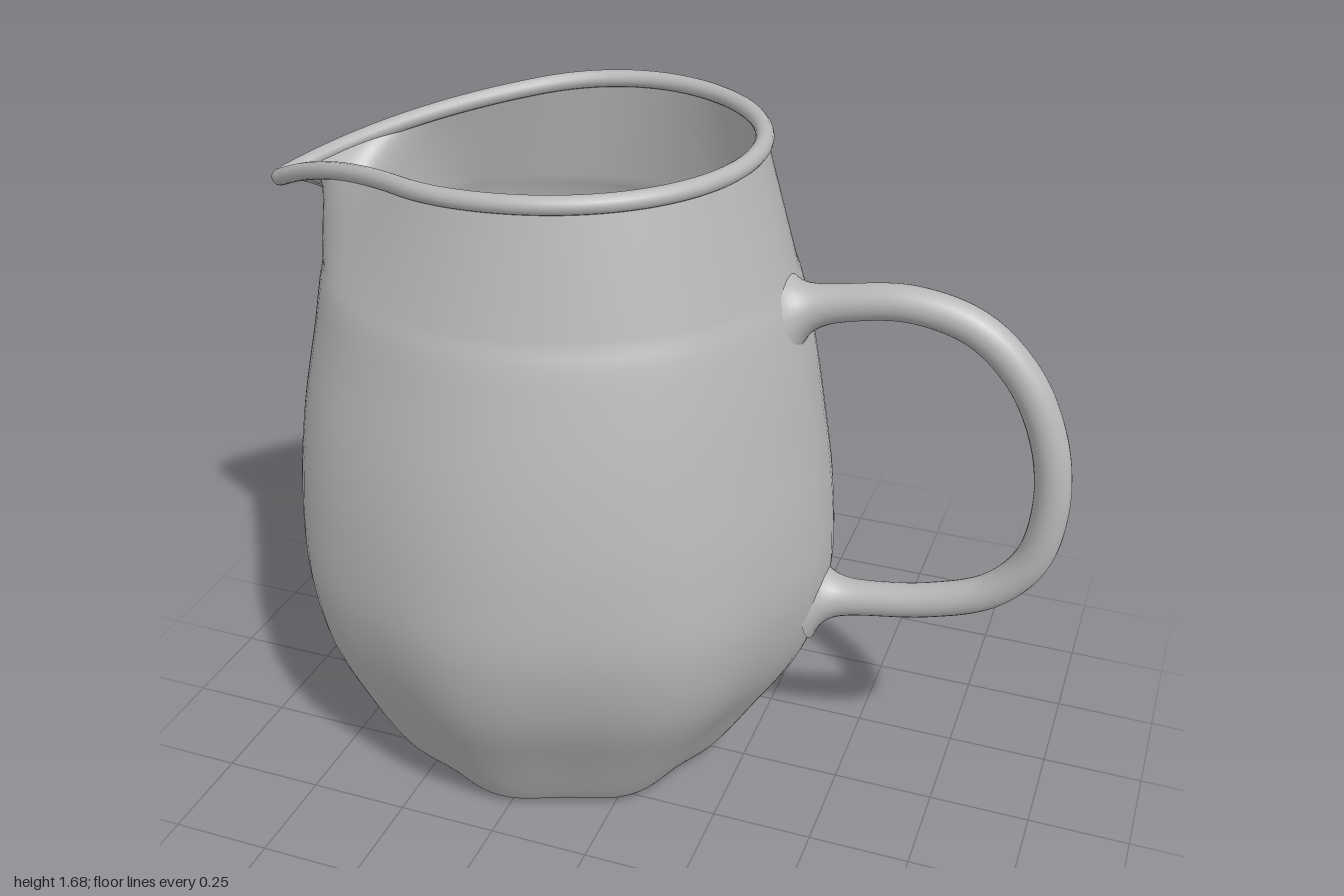
import * as THREE from 'three';
import { mergeVertices } from 'three/addons/utils/BufferGeometryUtils.js';

const SEG = 96;
const NECK_Y = 1.36;
const { lerp, smoothstep } = THREE.MathUtils;

// Body outline: height, spout side x, handle side x, half depth
const PROFILE = [
  [0.0, -0.62, 0.08, 0.32],
  [0.008, -0.68, 0.135, 0.375],
  [0.045, -0.735, 0.185, 0.41],
  [0.2, -0.815, 0.285, 0.49],
  [0.4, -0.885, 0.4, 0.585],
  [0.6, -0.91, 0.445, 0.63],
  [0.8, -0.9, 0.435, 0.625],
  [1.0, -0.872, 0.405, 0.6],
  [1.2, -0.83, 0.37, 0.557],
  [NECK_Y, -0.797, 0.327, 0.513],
];
const sides = new THREE.CatmullRomCurve3(
  PROFILE.map(([, a, b, z]) => new THREE.Vector3(a, b, z)), false, 'catmullrom', 0.5);
const heights = new THREE.SplineCurve(PROFILE.map(([y]) => new THREE.Vector2(y, 0)));

// One point of the belly; it is slightly eight-sided near the foot
function bellyPoint(t, angle, inset) {
  const s = sides.getPoint(t);
  const y = heights.getPoint(t).x;
  const facet = 0.05 * (1 - smoothstep(y, 0, 0.9)) + 0.008;
  const k = 1 - facet * (1 - Math.cos(8 * angle)) / 2;
  const rx = ((s.y - s.x) / 2 - inset) * k;
  return new THREE.Vector3(
    (s.x + s.y) / 2 + rx * Math.cos(angle), y, (s.z - inset) * k * Math.sin(angle));
}

// Rim: an arc running along tangent lines into the pouring lip
function rimPoint(angle, inset = 0) {
  const spread = 0.988;
  const fromTip = Math.hypot(Math.PI - Math.abs(angle), 0.02);
  const r = 0.438 / Math.cos(Math.max(0, spread - fromTip)) - inset;
  const x = -0.2 + r * Math.cos(angle);
  const y = 1.657 - 0.21 * Math.pow(Math.max(0, (0.2 - x) / 1.18), 3.2);
  return new THREE.Vector3(x, y, r * Math.sin(angle));
}

// Neck: blends the belly into the rim, curling outward under the lip
function neckPoint(t, angle, inset) {
  const a = bellyPoint(1, angle, inset);
  const b = rimPoint(angle, inset * 0.3);
  const lip = smoothstep(Math.abs(angle), 2.3, Math.PI);
  const out = Math.pow(t, 1 + 1.5 * lip);
  const up = lerp(t, 1 - (1 - t) ** 2, lip);
  return new THREE.Vector3(lerp(a.x, b.x, out), lerp(a.y, b.y, up), lerp(a.z, b.z, out));
}

const angleAt = (j) => (j / SEG) * Math.PI * 2 - Math.PI;

// Wall rings from the foot (t = start) up to the rim
function wallRings(start, inset) {
  const rings = [];
  const ring = (fn, t) =>
    rings.push(Array.from({ length: SEG }, (_, j) => fn(t, angleAt(j), inset)));
  for (let i = 0; i <= 54; i++) ring(bellyPoint, lerp(start, 1, i / 54));
  for (let i = 1; i <= 16; i++) ring(neckPoint, i / 16, inset);
  return rings;
}

// Skins a stack of rings, each listed counter-clockwise around the jug
function loft(rings) {
  const pos = rings.flat().flatMap((p) => [p.x, p.y, p.z]);
  const index = [];
  for (let i = 0; i < rings.length - 1; i++) {
    for (let j = 0; j < SEG; j++) {
      const k = (j + 1) % SEG;
      const a = i * SEG + j, b = i * SEG + k;
      index.push(a, a + SEG, b, b, a + SEG, b + SEG);
    }
  }
  const g = new THREE.BufferGeometry();
  g.setAttribute('position', new THREE.Float32BufferAttribute(pos, 3));
  g.setIndex(index);
  g.computeVertexNormals();
  return g;
}

// Flat cap ring shrunk to its middle
const centreRing = (ring, s) => {
  const c = ring.reduce((m, p) => m.add(p), new THREE.Vector3()).divideScalar(SEG);
  return ring.map((p) => c.clone().lerp(p, s));
};

// Handle tube that flares where it meets the body
function handleGeometry() {
  const path = new THREE.CatmullRomCurve3([
    [0.32, 1.305], [0.43, 1.337], [0.6, 1.362], [0.75, 1.325], [0.86, 1.225],
    [0.93, 1.08], [0.953, 0.92], [0.925, 0.765], [0.84, 0.662], [0.7, 0.602],
    [0.53, 0.568], [0.415, 0.556],
  ].map(([x, y]) => new THREE.Vector3(x, y, 0)));
  const n = 160, sidesN = 24, radius = 0.042;
  const g = new THREE.TubeGeometry(path, n, radius, sidesN);
  const pos = g.attributes.position;
  const length = path.getLength();
  const p = new THREE.Vector3();
  for (let i = 0; i <= n; i++) {
    const c = path.getPointAt(i / n);
    const d = Math.min(i, n - i) / n * length;
    const k = 1 + 1.7 * Math.exp(-d / 0.033);
    for (let j = 0; j <= sidesN; j++) {
      const v = i * (sidesN + 1) + j;
      p.fromBufferAttribute(pos, v).sub(c).multiplyScalar(k).add(c);
      pos.setXYZ(v, p.x, p.y, p.z);
    }
  }
  g.deleteAttribute('uv');
  g.deleteAttribute('normal');
  const merged = mergeVertices(g, 1e-5);
  merged.computeVertexNormals();
  return merged;
}

export function createModel() {
  const glaze = new THREE.MeshStandardMaterial({ color: 0xb8b8b8 });
  glaze.name = 'grey glaze';
  const model = new THREE.Group();
  model.name = 'jug';
  const add = (name, geometry) => {
    const mesh = new THREE.Mesh(geometry, glaze);
    mesh.name = name;
    model.add(mesh);
  };

  // Outer wall with closed foot
  const outer = wallRings(0, 0);
  add('outerBody', loft([centreRing(outer[0], 0.001), centreRing(outer[0], 0.5), ...outer]));

  // Inner wall, skinned from the rim down so that it faces inward
  const inner = wallRings(2 / 9, 0.04).reverse();
  add('innerWall', loft(inner));
  const floor = inner[inner.length - 1];
  add('innerFloor', loft([floor, centreRing(floor, 0.001)]));

  // Rolled rim
  const rim = new THREE.CatmullRomCurve3(
    Array.from({ length: SEG }, (_, j) => rimPoint(angleAt(j), 0.004)), true);
  add('rim', new THREE.TubeGeometry(rim, 240, 0.021, 14, true));

  add('handle', handleGeometry());
  return model;
}
